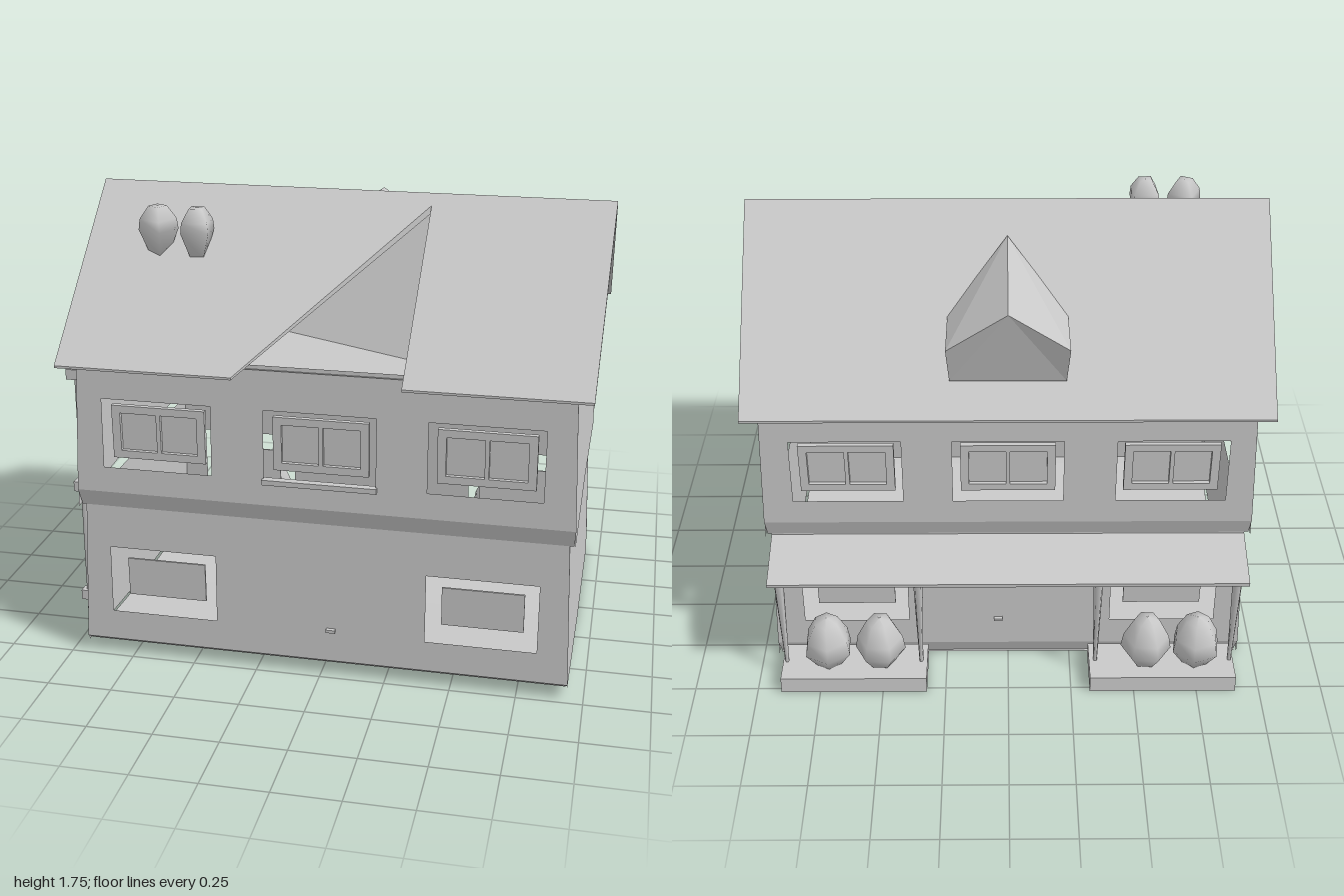
import * as THREE from 'three';

const plaster = new THREE.MeshStandardMaterial({ color: 0xc8c8c8, side: THREE.DoubleSide });
plaster.name = 'pale grey';

const lerp = (a, b, t) => a + (b - a) * t;

function add(parent, name, geometry, x = 0, y = 0, z = 0) {
  const mesh = new THREE.Mesh(geometry, plaster);
  mesh.name = name;
  mesh.position.set(x, y, z);
  parent.add(mesh);
  return mesh;
}

// Moves every vertex by a rule and refreshes the normals
function warp(geometry, rule) {
  const p = geometry.attributes.position;
  for (let i = 0; i < p.count; i++) p.setXYZ(i, ...rule(p.getX(i), p.getY(i), p.getZ(i)));
  geometry.computeVertexNormals();
  return geometry;
}

const polygon = (pts) => new THREE.Shape(pts.map(([x, y]) => new THREE.Vector2(x, y)));
const rect = (cx, cy, w, h) => polygon([
  [cx - w / 2, cy - h / 2], [cx + w / 2, cy - h / 2], [cx + w / 2, cy + h / 2], [cx - w / 2, cy + h / 2]]);

// Thin leaning wall facing +z (side 1) or -z (side -1); z runs from z0 at y0 to z1 at y1
function longWall(parent, name, side, pts, holes, y0, z0, y1, z1) {
  const shape = polygon(pts);
  shape.holes.push(...holes);
  add(parent, name, warp(new THREE.ShapeGeometry(shape),
    (x, y) => [side * x, y, lerp(z0, z1, (y - y0) / (y1 - y0))]));
}

// Gable-end wall; points are given as z, y
function endWall(parent, name, side, pts, y0, x0, y1, x1) {
  add(parent, name, warp(new THREE.ShapeGeometry(polygon(pts.map(([z, y]) => [-side * z, y]))),
    (u, y) => [side * lerp(x0, x1, (y - y0) / (y1 - y0)), y, -side * u]));
}

// Free quads or triangles from corner points
function facets(faces) {
  const v = [];
  for (const f of faces) for (let i = 1; i < f.length - 1; i++) v.push(...f[0], ...f[i], ...f[i + 1]);
  const g = new THREE.BufferGeometry();
  g.setAttribute('position', new THREE.Float32BufferAttribute(v, 3));
  g.computeVertexNormals();
  return g;
}

const trapezoid = (xa, ya, xb, yb) => [[-xa, ya], [xa, ya], [xb, yb], [-xb, yb]];

function buildWalls(house) {
  const upperX = [-0.62, 0, 0.61], lowerX = [-0.62, 0.61];
  for (const s of [1, -1]) {
    const name = s > 0 ? 'front' : 'back';
    const zTop = s > 0 ? 0.70 : -0.53, zLow = s > 0 ? 0.725 : -0.55;
    const base = s > 0 ? 0.04 : 0;

    // Long walls with open window holes, and the tucked-in belt between the floors
    longWall(house, name + 'UpperWall', s, trapezoid(0.94, 0.69, 0.92, 1.23),
      upperX.map((x) => rect(s * x, 0.925, 0.42, 0.27)), 0.69, zLow, 1.23, zTop);
    longWall(house, name + 'Belt', s, trapezoid(0.935, 0.62, 0.94, 0.69), [], 0.62, zTop, 0.69, zLow);
    longWall(house, name + 'LowerWall', s, trapezoid(0.94, 0.06, 0.92, 0.62),
      lowerX.map((x) => rect(s * x, 0.315, 0.42, 0.27)), 0.06, zLow, 0.62, zTop);
    longWall(house, name + 'Plinth', s, trapezoid(0.93, base, 0.94, 0.06), [], base, zTop, 0.06, zLow);

    // Panes set back inside the holes, leaving an open ring around them
    for (const x of upperX) {
      const frame = rect(x, 0.925, 0.36, 0.21);
      frame.holes.push(rect(x - 0.078, 0.925, 0.14, 0.15), rect(x + 0.078, 0.925, 0.14, 0.15));
      add(house, name + 'WindowFrame', new THREE.ExtrudeGeometry(frame, { depth: 0.02, bevelEnabled: false }),
        0, 0, zTop - s * 0.02 - 0.01);
      for (const d of [-0.078, 0.078])
        add(house, name + 'WindowPane', new THREE.BoxGeometry(0.14, 0.15, 0.008), x + d, 0.925, zTop - s * 0.03);
    }
    for (const x of lowerX)
      add(house, name + 'LowerPane', new THREE.BoxGeometry(0.31, 0.155, 0.008), x, 0.312, zTop - s * 0.03);

    // Door handle
    add(house, name + 'DoorHandle', new THREE.BoxGeometry(0.035, 0.012, 0.02), 0.04, 0.19, zLow);

    // Gable ends of both floors, with the slit between them
    const end = s > 0 ? 'left' : 'right';
    endWall(house, end + 'Gable', s,
      [[0.725, 0.62], [0.70, 1.23], [0.09, 1.70], [-0.53, 1.23], [-0.55, 0.62], [0.09, 0.65]], 0.62, 0.94, 1.23, 0.92);
    endWall(house, end + 'LowerEnd', s,
      [[0.72, 0.04], [0.70, 0.615], [-0.53, 0.615], [-0.55, 0], [0.09, 0]], 0, 0.94, 0.615, 0.92);
  }
  add(house, 'windowSill', new THREE.BoxGeometry(0.43, 0.02, 0.03), 0, 0.785, 0.72);

  // Ground slab and attic floor
  add(house, 'groundSlab', facets([
    [[-0.93, 0.04, 0.70], [-0.93, 0, 0.09], [0.93, 0, 0.09], [0.93, 0.04, 0.70]],
    [[-0.93, 0, 0.09], [-0.93, 0, -0.54], [0.93, 0, -0.54], [0.93, 0, 0.09]]]));
  add(house, 'atticFloor', facets([
    [[-0.92, 1.215, 0.71], [0.92, 1.215, 0.71], [0.92, 1.215, -0.53], [-0.92, 1.215, -0.53]]]));
}

function buildRoof(house) {
  // Slopes are drawn as x against height fraction; the front one has a triangular gap
  const gap = [[-0.31, 0], [0.31, 0.93], [0.31, 0]];
  for (const s of [1, -1]) {
    const pts = [[-0.98, 0], ...(s > 0 ? gap : []), [0.98, 0], [1, 1], [-1, 1]];
    const eave = s > 0 ? 0.77 : -0.6;
    const slab = new THREE.ExtrudeGeometry(polygon(pts), { depth: 0.03, bevelEnabled: false });
    add(house, s > 0 ? 'frontRoof' : 'backRoof',
      warp(slab, (x, t, d) => [s * x, 1.2 + 0.55 * t + (d - 0.03) * (0.3 + 0.7 * t), lerp(eave, 0.09, t)]));
  }
  // Inner slope behind the gap
  add(house, 'innerRoof', facets([
    [[-0.31, 1.215, 0.21], [0.31, 1.215, 0.5], [0.31, 1.7, 0.1], [-0.31, 1.7, 0.09]]]));

  // Dormer on the back slope
  const tip = [0, 1.66, -0.04], peak = [0, 1.62, -0.56];
  const inL = [0.225, 1.45, -0.27], outL = [0.225, 1.46, -0.54], footL = [0.215, 1.30, -0.49];
  const flip = ([x, y, z]) => [-x, y, z];
  const inR = flip(inL), outR = flip(outL), footR = flip(footL);
  add(house, 'dormer', facets([
    [tip, inL, outL, peak], [tip, peak, outR, inR],
    [inL, footL, outL], [inR, outR, footR],
    [peak, outL, footL, footR, outR]]));

  // Chimney pots
  const profile = [[0, 0], [0.035, 0], [0.075, 0.1], [0.07, 0.14], [0.035, 0.19], [0, 0.19]];
  for (const [x, z, turn] of [[-0.705, 0.335, 0.35], [-0.55, 0.34, 0.85]])
    add(house, 'chimneyPot', new THREE.LatheGeometry(profile.map(([r, y]) => new THREE.Vector2(r, y)), 4),
      x, 1.52, z).rotation.y = turn;
}

function buildPorch(house) {
  // Sloping awning across the back
  add(house, 'awning', warp(new THREE.BoxGeometry(1.84, 0.014, 0.22),
    (x, y, z) => [x, y + 0.572 + z * 0.34, z - 0.635]));

  // Planters, bushes and tapered posts
  const profile = [[0, 0], [0.055, 0], [0.1, 0.07], [0.09, 0.13], [0.05, 0.21], [0, 0.225]]
    .map(([r, y]) => new THREE.Vector2(r, y));
  for (const s of [1, -1]) {
    add(house, 'planter', warp(new THREE.BoxGeometry(0.58, 0.065, 0.21),
      (x, y, z) => [x, y, y > 0 ? z * 0.93 : z]), s * 0.615, 0.0325, -0.665);
    for (const x of [0.35, 0.89])
      add(house, 'porchPost', new THREE.CylinderGeometry(0.022, 0.008, 0.47, 5), s * x, 0.3, -0.66);
  }
  for (const x of [-0.75, -0.55, 0.51, 0.72])
    add(house, 'bush', new THREE.LatheGeometry(profile, 6), x, 0.065, -0.655).rotation.y = x * 3;
}

function buildDrainpipe(house) {
  const pipe = new THREE.LineCurve3(new THREE.Vector3(-0.963, 0.08, 0.62), new THREE.Vector3(-0.95, 1.21, 0.62));
  add(house, 'drainpipe', new THREE.TubeGeometry(pipe, 1, 0.015, 6));
  for (const y of [0.19, 0.66, 1.12])
    add(house, 'pipeBracket', new THREE.BoxGeometry(0.065, 0.04, 0.04), -0.96, y, 0.62);
}

export function createModel() {
  const house = new THREE.Group();
  house.name = 'house';
  buildWalls(house);
  buildRoof(house);
  buildPorch(house);
  buildDrainpipe(house);
  return house;
}
